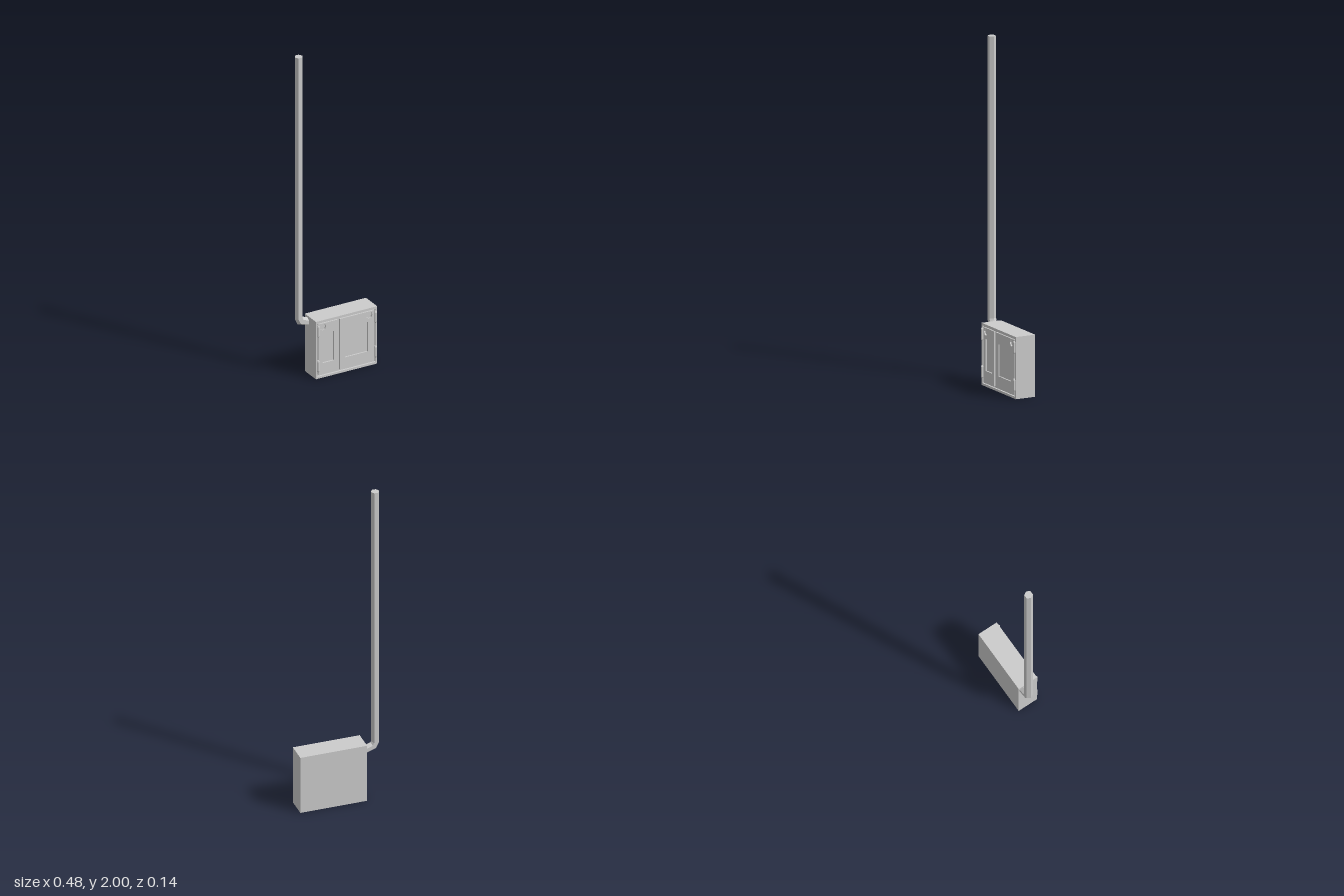
import * as THREE from 'three';

const grey = new THREE.MeshStandardMaterial({ color: 0xcccccc, flatShading: true });

function add(group, name, geometry, x = 0, y = 0, z = 0) {
  const mesh = new THREE.Mesh(geometry, grey);
  mesh.name = name;
  mesh.position.set(x, y, z);
  group.add(mesh);
  return mesh;
}

// Rectangle outline, usable as a shape or as a hole
function rect(PathType, x0, y0, x1, y1) {
  return new PathType([[x0, y0], [x1, y0], [x1, y1], [x0, y1]].map(p => new THREE.Vector2(...p)));
}

function extrude(shape, depth) {
  return new THREE.ExtrudeGeometry(shape, { depth, bevelEnabled: false, curveSegments: 4 });
}

// Hexagonal pipe swept along points in the xy plane, with mitred joints and end caps
function hexPipe(points, radius) {
  const path = points.map(p => new THREE.Vector2(...p));
  const pos = [], index = [], n = 6, last = path.length - 1;
  path.forEach((p, i) => {
    const before = path[Math.max(i, 1)].clone().sub(path[Math.max(i, 1) - 1]).normalize();
    const j = Math.min(i, last - 1);
    const after = path[j + 1].clone().sub(path[j]).normalize();
    const dir = before.clone().add(after).normalize();
    const mitre = radius / dir.dot(before);
    for (let k = 0; k < n; k++) {
      const a = k / n * Math.PI * 2, u = Math.cos(a) * mitre;
      pos.push(p.x - dir.y * u, p.y + dir.x * u, Math.sin(a) * radius);
    }
  });
  for (let i = 0; i < last; i++) {
    for (let k = 0; k < n; k++) {
      const a = i * n + k, b = i * n + (k + 1) % n;
      index.push(a, b, b + n, a, b + n, a + n);
    }
  }
  for (let k = 1; k < n - 1; k++) {
    index.push(0, k + 1, k, last * n, last * n + k, last * n + k + 1);
  }
  const g = new THREE.BufferGeometry();
  g.setAttribute('position', new THREE.Float32BufferAttribute(pos, 3));
  g.setIndex(index);
  const flat = g.toNonIndexed();
  flat.computeVertexNormals();
  return flat;
}

export function createModel() {
  const model = new THREE.Group();
  model.name = 'electricalCabinet';

  // Cabinet body and the raised rim round its front
  add(model, 'cabinetBody', new THREE.BoxGeometry(0.4, 0.36, 0.114), 0.04, 0.18, -0.013);
  const rim = rect(THREE.Shape, -0.16, 0, 0.24, 0.36);
  rim.holes.push(rect(THREE.Path, -0.15, 0.013, 0.23, 0.347));
  add(model, 'frontRim', extrude(rim, 0.011), 0, 0, 0.044);

  // Doors with a recessed panel and a round lock recess
  const doors = [
    { name: 'narrowDoor', x0: -0.142, x1: -0.017, w0: -0.116, w1: -0.042, lock: -0.114 },
    { name: 'wideDoor', x0: -0.003, x1: 0.222, w0: 0.032, w1: 0.18, lock: 0.188 },
  ];
  for (const d of doors) {
    const door = rect(THREE.Shape, d.x0, 0.021, d.x1, 0.339);
    door.holes.push(rect(THREE.Path, d.w0, 0.09, d.w1, 0.275));
    door.holes.push(new THREE.Path().absarc(d.lock, 0.316, 0.021, 0, Math.PI * 2));
    add(model, d.name, extrude(door, 0.009), 0, 0, 0.044);
  }

  // Two barrel hinges on each outer edge, with tapered ends
  const barrel = [[0, -0.036], [0.005, -0.036], [0.009, -0.029], [0.009, 0.029], [0.005, 0.036], [0, 0.036]]
    .map(p => new THREE.Vector2(...p));
  for (const x of [-0.147, 0.227]) {
    for (const y of [0.08, 0.298]) {
      add(model, 'hinge', new THREE.LatheGeometry(barrel, 6), x, y, 0.058);
    }
  }

  // Tall conduit bending into the side of the cabinet
  add(model, 'conduit',
    hexPipe([[-0.155, 0.322], [-0.206, 0.34], [-0.217, 0.362], [-0.217, 2]], 0.0245), 0, 0, -0.042);

  return model;
}
